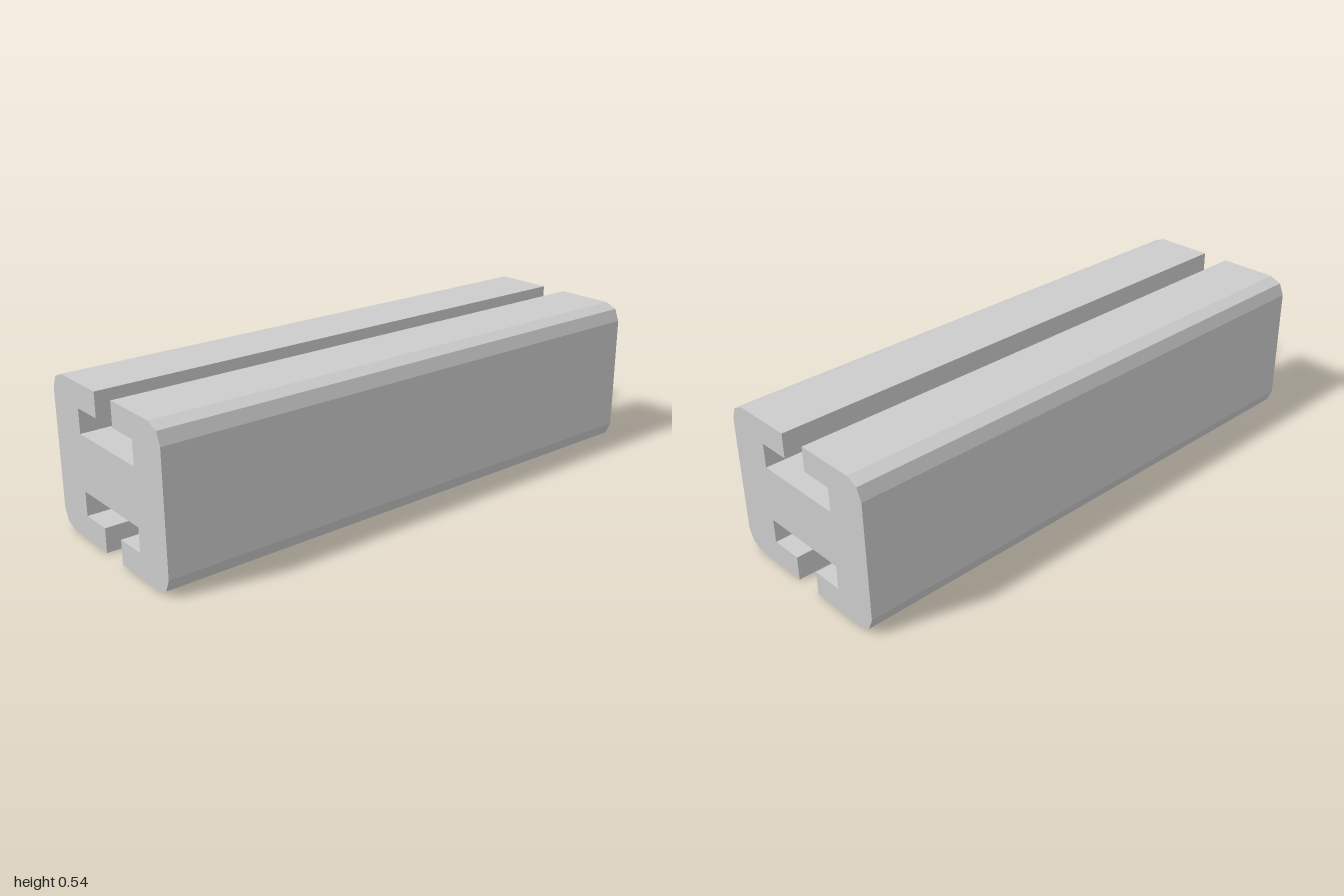
import * as THREE from 'three';

const HEIGHT = 0.538;
const LENGTH = 1.992;

// One quarter of the profile, from the slot floor out to the side wall: [across, up from mid-height]
const QUARTER = [
  [0.167, 0.098], [0.167, 0.183], [0.051, 0.183], [0.051, 0.269],
  [0.267, 0.269], [0.310, 0.251], [0.328, 0.208],
];

// Mirror the quarter into the full closed outline, counter-clockwise
function profileShape() {
  const mirror = (sx, sy) => QUARTER.map(([x, y]) => new THREE.Vector2(x * sx, y * sy));
  return new THREE.Shape([
    ...mirror(1, -1),
    ...mirror(1, 1).reverse(),
    ...mirror(-1, 1),
    ...mirror(-1, -1).reverse(),
  ]);
}

export function createModel() {
  const group = new THREE.Group();
  group.name = 'slottedRail';

  // Extruded rail with a T-slot along the top and bottom
  const geometry = new THREE.ExtrudeGeometry(profileShape(), { depth: LENGTH, bevelEnabled: false });
  geometry.translate(0, 0, -LENGTH / 2);
  geometry.rotateY(Math.PI / 2);

  const rail = new THREE.Mesh(
    geometry,
    new THREE.MeshStandardMaterial({ color: 0xcccccc, flatShading: true }),
  );
  rail.name = 'railProfile';
  rail.position.y = HEIGHT / 2;
  rail.rotation.y = 0.012; // the rail lies very slightly askew
  group.add(rail);

  return group;
}
